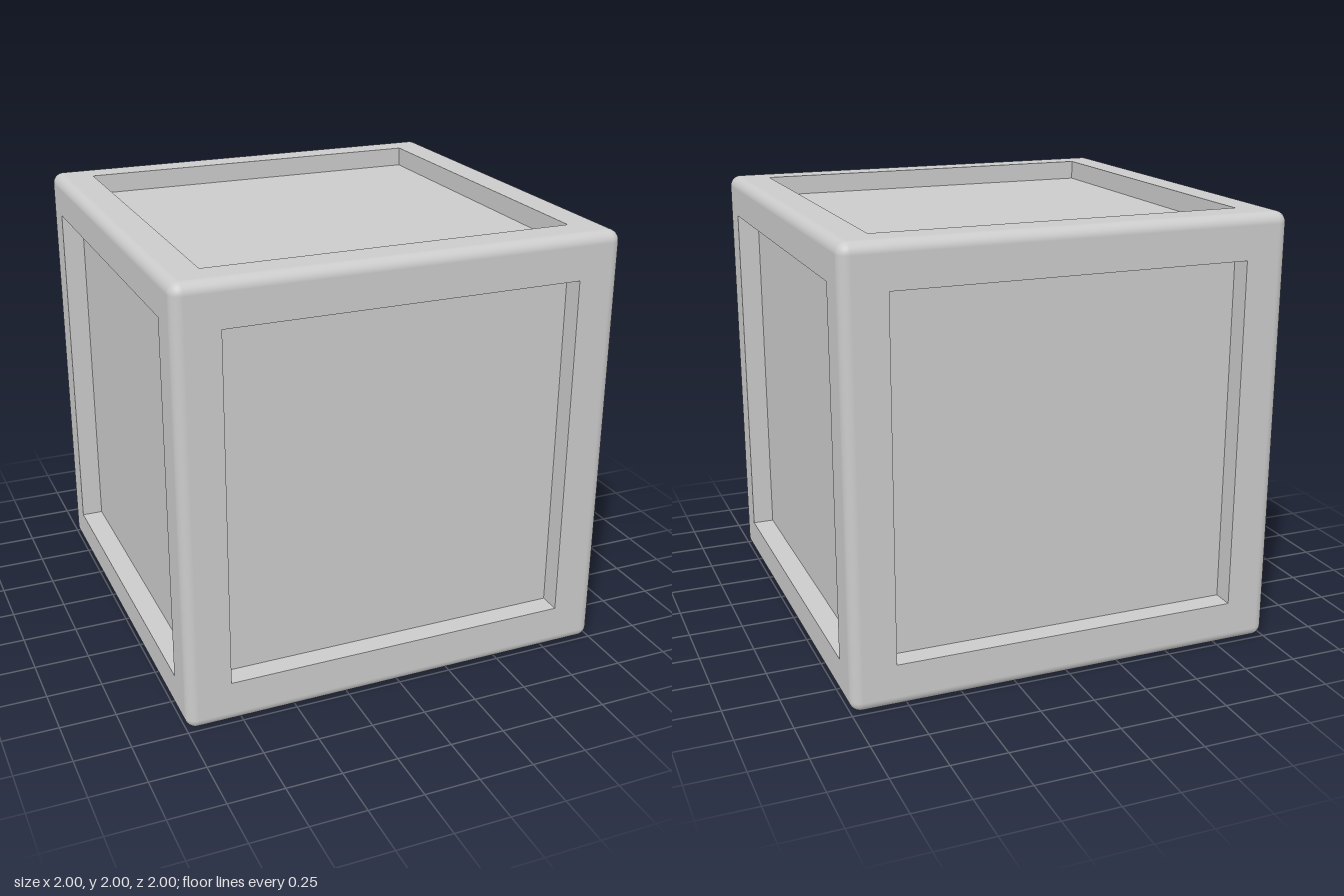
import * as THREE from 'three';

const RADIUS = 0.05; // rounding of the outer edges
const CORE = 1 - RADIUS;

const material = new THREE.MeshStandardMaterial({ color: 0xcccccc });

// One face of a rounded cube (facing +z) with a square opening of half-size h
function frameFace(h) {
  const bevel = [1, 0.75, 0.5, 0.25, 0].map(t => CORE + RADIUS * Math.tan(t * Math.PI / 4));
  const steps = [...bevel.map(v => -v), -h, h, ...bevel.slice().reverse()];
  const n = steps.length;
  const positions = [], normals = [], index = [];
  for (const y of steps) {
    for (const x of steps) {
      const p = new THREE.Vector3(x, y, 1);
      const core = p.clone().clampScalar(-CORE, CORE);
      const normal = p.sub(core).normalize();
      normals.push(...normal.toArray());
      positions.push(...core.addScaledVector(normal, RADIUS).toArray());
    }
  }
  const hole = steps.indexOf(-h);
  for (let j = 0; j < n - 1; j++) {
    for (let i = 0; i < n - 1; i++) {
      if (i === hole && j === hole) continue;
      const a = j * n + i, b = a + 1, c = a + n, d = c + 1;
      index.push(a, b, d, a, d, c);
    }
  }
  const geometry = new THREE.BufferGeometry();
  geometry.setAttribute('position', new THREE.Float32BufferAttribute(positions, 3));
  geometry.setAttribute('normal', new THREE.Float32BufferAttribute(normals, 3));
  geometry.setIndex(index);
  return geometry;
}

function addMesh(parent, geometry, name) {
  const mesh = new THREE.Mesh(geometry, material);
  mesh.name = name;
  parent.add(mesh);
  return mesh;
}

// Complete side: rounded frame, four recess walls and the sunken panel
function makeSide(name, h, depth) {
  const side = new THREE.Group();
  side.name = name;
  addMesh(side, frameFace(h), 'frame');
  addMesh(side, new THREE.PlaneGeometry(2 * h, 2 * h).translate(0, 0, 1 - depth), 'panel');
  for (let k = 0; k < 4; k++) {
    const wall = new THREE.PlaneGeometry(2 * h, depth)
      .rotateX(-Math.PI / 2)
      .translate(0, -h, 1 - depth / 2)
      .rotateZ(k * Math.PI / 2);
    addMesh(side, wall, 'recessWall');
  }
  return side;
}

export function createModel() {
  const crate = new THREE.Group();
  crate.name = 'panelledCube';
  const q = Math.PI / 2;
  // name, opening half-size, recess depth, rotation about x and y
  const sides = [
    ['frontSide', 0.8, 0.1, 0, 0],
    ['backSide', 0.8, 0.1, 0, 2 * q],
    ['leftSide', 0.82, 0.1, 0, q],
    ['rightSide', 0.82, 0.1, 0, -q],
    ['topSide', 0.83, 0.09, -q, 0],
    ['bottomSide', 0.83, 0.09, q, 0],
  ];
  for (const [name, h, depth, rx, ry] of sides) {
    const side = makeSide(name, h, depth);
    side.rotation.set(rx, ry, 0);
    side.position.y = 1;
    crate.add(side);
  }
  return crate;
}
